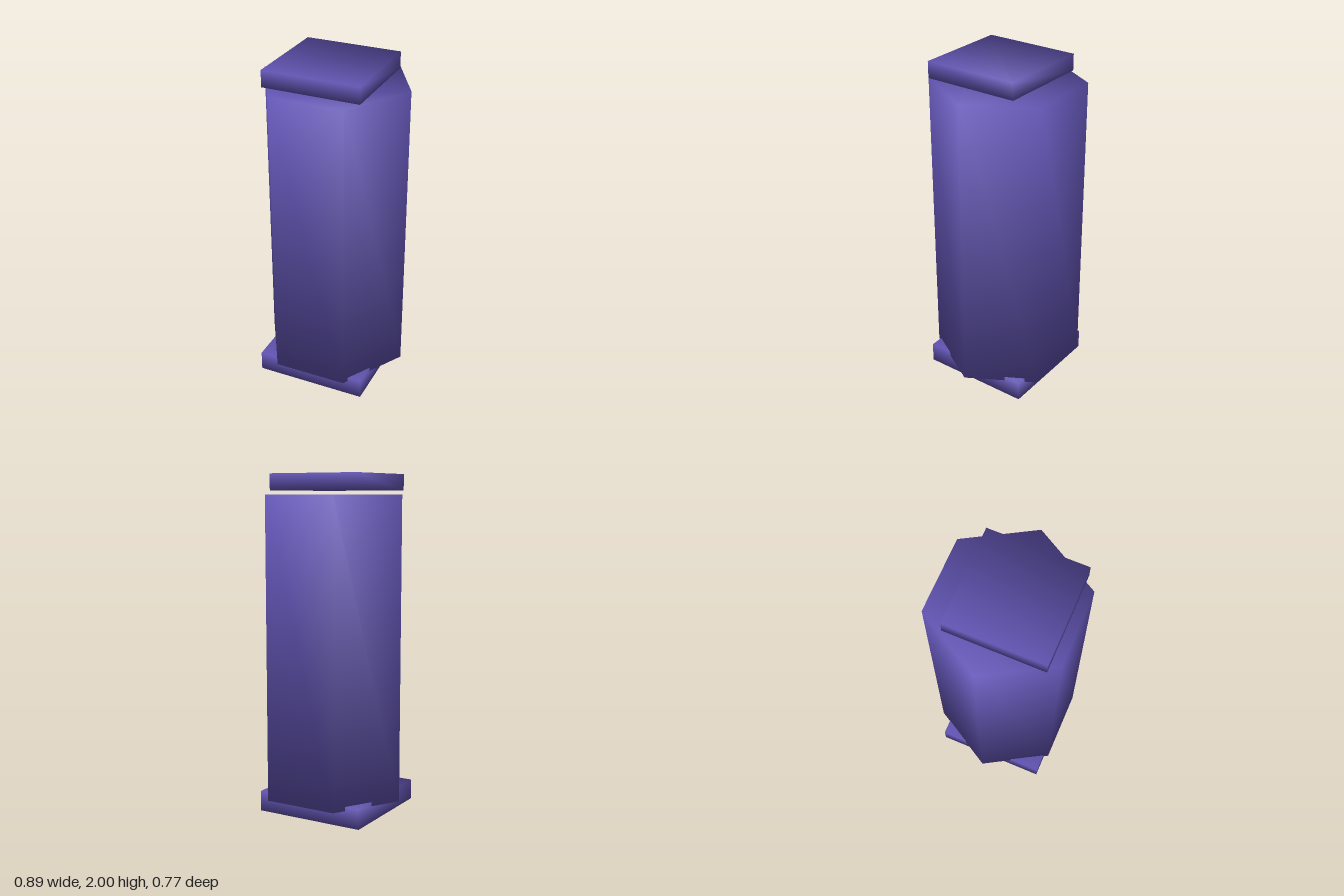
import * as THREE from 'three';

const material = new THREE.MeshStandardMaterial({ color: 0x6355b5 });

// Upright regular prism, first corner at angle `start`, with one blended normal per corner
function prism(name, sides, radius, start, y0, y1, x, z) {
  const points = [];
  for (let i = 0; i < sides; i++) {
    const a = start + (i / sides) * Math.PI * 2;
    points.push(new THREE.Vector2(Math.cos(a) * radius, Math.sin(a) * radius));
  }
  const height = y1 - y0;
  const geometry = new THREE.ExtrudeGeometry(new THREE.Shape(points), { depth: height, bevelEnabled: false });
  geometry.translate(0, 0, -height / 2);
  geometry.rotateX(-Math.PI / 2);

  // Corner normals lean outward and up or down, so the shading flows round every edge
  const tilt = sides === 4 ? 0.707 : 0.77;
  const position = geometry.attributes.position;
  const normal = new THREE.Vector3();
  for (let i = 0; i < position.count; i++) {
    normal.set(position.getX(i) / radius, Math.sign(position.getY(i)) * tilt, position.getZ(i) / radius).normalize();
    geometry.attributes.normal.setXYZ(i, normal.x, normal.y, normal.z);
  }

  const mesh = new THREE.Mesh(geometry, material);
  mesh.name = name;
  mesh.position.set(x, (y0 + y1) / 2, z);
  return mesh;
}

export function createModel() {
  const group = new THREE.Group();
  group.name = 'pillar';
  const square = (side) => side / Math.SQRT2;

  // Square plinth, overlapping the foot of the shaft
  group.add(prism('base', 4, square(0.673), Math.PI / 4, 0, 0.12, -0.014, 0.018));
  // Hexagonal shaft with corners on the x axis
  group.add(prism('shaft', 6, 0.445, 0, 0.095, 1.88, 0, 0));
  // Square cap, floating just above the shaft
  group.add(prism('cap', 4, square(0.574), Math.PI / 4, 1.903, 2, -0.001, 0.043));
  return group;
}
